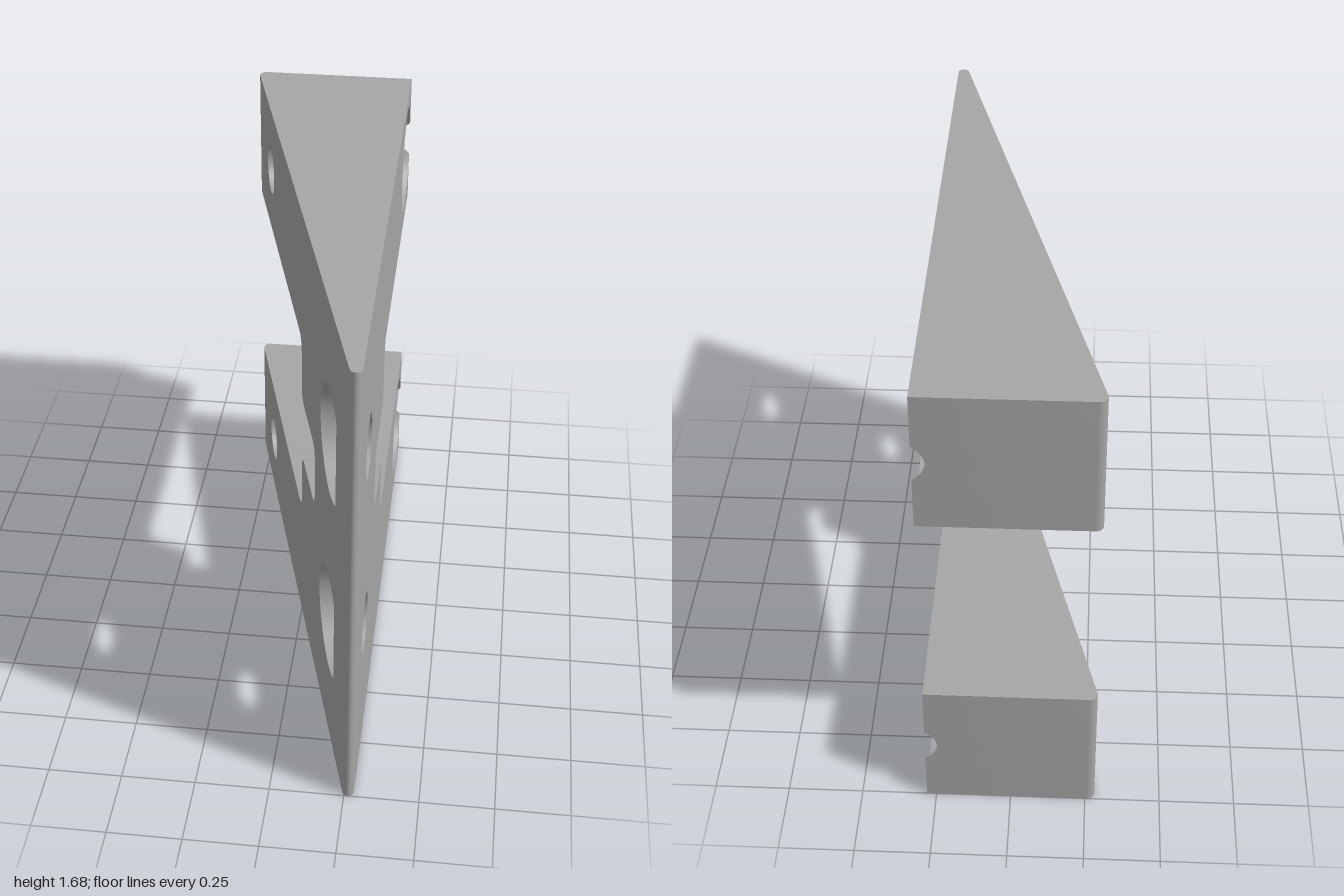
import * as THREE from 'three';
import { toCreasedNormals } from 'three/addons/utils/BufferGeometryUtils.js';

const V = (x, y, z) => new THREE.Vector3(x, y, z);
const H = 1.68, X = 0.282, TILT = Math.PI / 12;
const S = Math.sin(TILT), C = Math.cos(TILT), T = S / C;
const slantX = z => T * (z - 0.08);
const lerp = THREE.MathUtils.lerp;
const range = (n, a, b, f) => Array.from({ length: n + 1 }, (_, i) => f(lerp(a, b, i / n)));

// Geometry from a flat list of triangle corners, dropping empty triangles
function fromTriangles(tris) {
  const pts = [];
  for (const [a, b, c] of tris) {
    if (b.clone().sub(a).cross(c.clone().sub(a)).length() > 1e-9) pts.push(a, b, c);
  }
  return toCreasedNormals(new THREE.BufferGeometry().setFromPoints(pts), 0.5);
}

// Skin stretched over rows of points
function skin(rows) {
  const tris = [];
  for (let i = 0; i + 1 < rows.length; i++) {
    for (let k = 0; k + 1 < rows[i].length; k++) {
      const a = rows[i][k], c = rows[i][k + 1], b = rows[i + 1][k], d = rows[i + 1][k + 1];
      tris.push([a, c, b], [b, c, d]);
    }
  }
  return fromTriangles(tris);
}

// Flat face with holes, turned towards +x or -x
function face(contour, holes, side) {
  const flat = l => l.map(p => new THREE.Vector2(p.z, p.y));
  const all = [contour, ...holes].flat();
  const tris = THREE.ShapeUtils.triangulateShape(flat(contour), holes.map(flat)).map(t => {
    const [a, b, c] = t.map(i => all[i]);
    const nx = b.clone().sub(a).cross(c.clone().sub(a)).x;
    return nx * side > 0 ? [a, b, c] : [a, c, b];
  });
  return fromTriangles(tris);
}

// Tilted screw bore, square to the sloping face, with a counterbore on the flat face
const BORE_Y = 0.24, BORE_R = 0.193, HOLE_R = 0.09;
const axis = V(C, 0, -S);
const seat = V(0.196, BORE_Y, -0.788);
const around = (r, t) => seat.clone().add(V(S * r * Math.cos(t), r * Math.sin(t), C * r * Math.cos(t)));
const boreRim = t => {
  const p = around(BORE_R, t);
  return p.clone().addScaledVector(axis, Math.min((X - p.x) / C, (p.z + 1) / S));
};
const holeLength = seat.x * C - (seat.z - 0.08) * S;
const holeExit = t => around(HOLE_R, t).addScaledVector(axis, -holeLength);
const rimCentreZ = seat.z - (X - seat.x) * T;
const bite = Math.acos((1 + rimCentreZ) / (BORE_R / C)); // half angle running out of the back

// Straight screw hole, counterbored from the sloping face
const PLAIN_Z = 0.68, PLAIN_Y = 0.48, PLAIN_R = 0.107, SINK_R = 0.19, SINK_X = 0.19;
const plain = (x, r, t) => V(x, PLAIN_Y + r * Math.sin(t), PLAIN_Z + r * Math.cos(t));
const sinkStart = Math.acos((SINK_X / T + 0.08 - PLAIN_Z) / SINK_R);
const sinkFloor = t => plain(SINK_X, SINK_R, t);
const sinkRim = t => { const p = sinkFloor(t); p.x = slantX(p.z); return p; };

// Rounded corner of the notch
function fillet(prev, corner, next, r = 0.05) {
  const a = prev.clone().sub(corner).normalize(), b = next.clone().sub(corner).normalize();
  const mid = corner.clone().addScaledVector(a, r).addScaledVector(b, r);
  return range(6, 0, Math.PI / 2, t =>
    mid.clone().addScaledVector(b, -r * Math.cos(t)).addScaledVector(a, -r * Math.sin(t)));
}

const mirrorY = p => V(p.x, H - p.y, p.z);

// Side outline, lower half then its mirror image
function outline(bitePoints) {
  const n = [[0.84, 0.38], [0.72, 0.38], [0.72, 0.083], [0.48, 0.083], [0.48, -1]].map(([y, z]) => V(X, y, z));
  const half = [
    ...[1, 2, 3].flatMap(i => fillet(n[i - 1], n[i], n[i + 1])),
    n[4], ...bitePoints, V(X, 0, -1), V(X, 0, 1),
  ];
  return [...half, ...half.map(mirrorY).reverse()];
}

// Path across the thickness, from the slope to the flat face, with rounded ends
const TIP_R = 0.0192, BACK_R = 0.025, STEPS = 8;
function across(p) {
  const arc = (cx, cz, r, a, b) => range(STEPS, a, b, t => V(cx + r * Math.cos(t), p.y, cz + r * Math.sin(t)));
  if (p.z < -0.9999) {
    const cz = -1 + BACK_R;
    return [...arc(slantX(cz) + BACK_R / C, cz, BACK_R, Math.PI - TILT, Math.PI * 1.5), V(p.x, p.y, -1)];
  }
  if (p.z > 0.9999) {
    const pts = arc(X - TIP_R, 1 - TIP_R, TIP_R, Math.PI - TILT, 0);
    return [...pts, pts[STEPS].clone()];
  }
  return range(STEPS + 1, 0, 1, k => V(lerp(slantX(p.z), X, k), p.y, p.z));
}

export function createModel() {
  const group = new THREE.Group();
  const grey = new THREE.MeshStandardMaterial({ color: 0xa6a6a6 });
  grey.name = 'grey';
  const add = (name, geometry) => {
    const mesh = new THREE.Mesh(geometry, grey);
    mesh.name = name;
    group.add(mesh);
  };
  const TAU = Math.PI * 2;
  const both = loop => [loop, loop.map(mirrorY)];

  // Edge walls around the forked wedge
  const rim = outline(range(8, Math.PI - bite, Math.PI + bite, boreRim));
  const rows = rim.map(across);
  add('edgeWalls', skin([...rows, rows[0]]));

  // Flat face, open at the counterbores
  const flatRim = outline(range(40, Math.PI - bite, bite - Math.PI, boreRim))
    .map(p => (p.z > 0.9999 ? across(p)[STEPS] : p));
  const loop = (f, a = 0, b = TAU) => range(24, a, b, f);
  const ring = f => loop(f).slice(0, -1);
  add('flatFace', face(flatRim, both(ring(t => plain(X, PLAIN_R, t))), 1));

  // Sloping face
  const sink = f => loop(f, sinkStart, TAU - sinkStart);
  add('slopingFace', face(rows.map(r => r[0]), [...both(ring(holeExit)), ...both(sink(sinkRim))], -1));

  // Bores, lower and upper
  for (const upper of [false, true]) {
    const place = p => (upper ? mirrorY(p) : p);
    const list = l => l.map(place);
    const wall = l => skin((upper ? [...l].reverse() : l).map(list));
    const name = upper ? 'upper' : 'lower';
    const angles = [
      ...range(40, bite - Math.PI, Math.PI - bite, t => t),
      ...range(8, Math.PI - bite, Math.PI + bite, t => t).slice(1),
    ];
    add(name + 'TiltedCounterbore', wall(angles.map(t => [boreRim(t), around(BORE_R, t)])));
    add(name + 'TiltedSeat', face(list(ring(t => around(BORE_R, t))), [list(ring(t => around(HOLE_R, t)))], 1));
    add(name + 'TiltedHole', wall(loop(t => [around(HOLE_R, t), holeExit(t)])));
    add(name + 'StraightCounterbore', wall(sink(t => [sinkFloor(t), sinkRim(t)])));
    add(name + 'StraightSeat', face(list(sink(sinkFloor)), [list(ring(t => plain(SINK_X, PLAIN_R, t)))], -1));
    add(name + 'StraightHole', wall(loop(t => [plain(X, PLAIN_R, t), plain(SINK_X, PLAIN_R, t)])));
  }
  return group;
}
